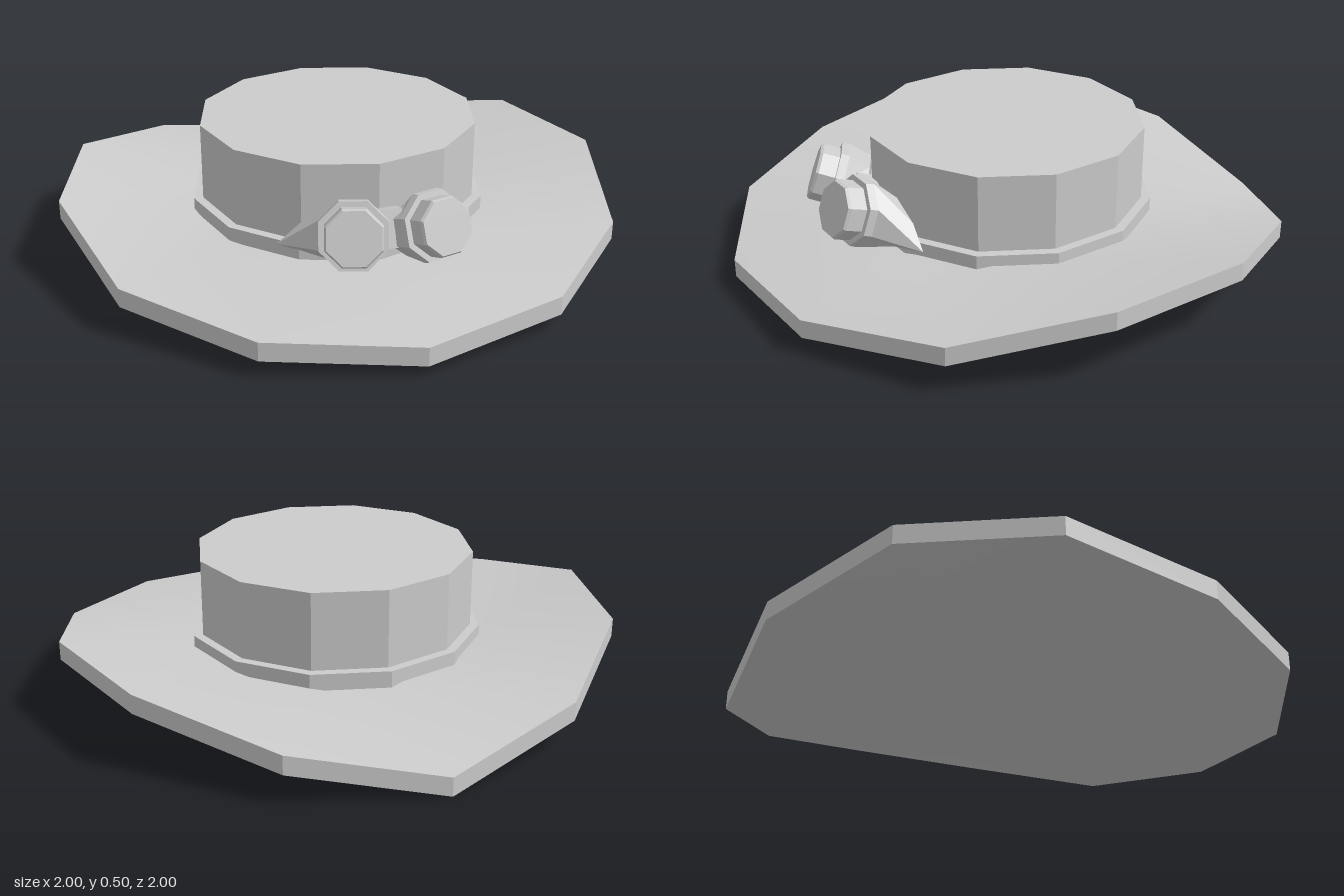
import * as THREE from 'three';
import { toCreasedNormals } from 'three/addons/utils/BufferGeometryUtils.js';

const SIDES = 12;
const flat = new THREE.MeshStandardMaterial({ color: 0xcccccc, flatShading: true });
const smooth = new THREE.MeshStandardMaterial({ color: 0xcccccc });

function part(name, geometry, material = flat) {
  const mesh = new THREE.Mesh(geometry, material);
  mesh.name = name;
  return mesh;
}

// Wide brim: a flat slab whose outer rim is bent up at the sides and down at front and back
function brimGeometry() {
  const profile = [[0, 0.11], [0.48, 0.11], [1, 0.1], [1, 0.17], [0.48, 0.176], [0, 0.176]];
  const geo = new THREE.LatheGeometry(profile.map(([r, y]) => new THREE.Vector2(r, y)), SIDES);
  const rimTop = [0.105, 0.13, 0.175, 0.275, 0.275, 0.175, 0.07]; // front to back
  const pos = geo.attributes.position;
  for (let i = 0; i < pos.count; i++) {
    const x = pos.getX(i), z = pos.getZ(i);
    if (Math.hypot(x, z) < 0.9) continue;
    const step = Math.round(Math.atan2(Math.abs(x), z) / (Math.PI / 6));
    pos.setY(i, rimTop[step] - (pos.getY(i) < 0.14 ? 0.066 : 0));
  }
  return toCreasedNormals(geo, 0.45);
}

// Joins equal-sized rings of points, capping both ends
function loft(rings, flip) {
  const n = rings[0].length, index = [];
  const tri = (a, b, c) => index.push(...(flip ? [a, c, b] : [a, b, c]));
  for (let r = 0; r < rings.length - 1; r++) {
    for (let k = 0; k < n; k++) {
      const a = r * n + k, b = r * n + (k + 1) % n;
      tri(a, b, b + n);
      tri(a, b + n, a + n);
    }
  }
  const last = (rings.length - 1) * n;
  for (let k = 1; k < n - 1; k++) {
    tri(0, k + 1, k);
    tri(last, last + k, last + k + 1);
  }
  const geo = new THREE.BufferGeometry().setFromPoints(rings.flat());
  geo.setIndex(index);
  geo.computeVertexNormals();
  return geo;
}

// One goggle cup: irregular base against the crown, octagonal cup, stepped lens barrel
function goggleGeometry(side) {
  const base = [
    [0.27, 0.29, 0.43], [0.18, 0.35, 0.46], [0.08, 0.35, 0.49], [0.01, 0.31, 0.52],
    [0.01, 0.22, 0.53], [0.07, 0.17, 0.53], [0.19, 0.17, 0.48], [0.348, 0.22, 0.42],
  ].map((p) => new THREE.Vector3(...p));
  const face = new THREE.Vector3(0.157, 0.333, 0.675);
  const axis = new THREE.Vector3(0.24, 0.33, 0.91).normalize();
  const u = new THREE.Vector3(0, 1, 0).cross(axis).normalize();
  const v = axis.clone().cross(u);
  const octagon = (depth, radius) => base.map((_, k) => {
    const a = (k + 0.5) * Math.PI / 4;
    return face.clone().addScaledVector(axis, depth)
      .addScaledVector(u, radius * Math.cos(a)).addScaledVector(v, radius * Math.sin(a));
  });
  const rings = [base, octagon(-0.1, 0.125), octagon(-0.07, 0.122), octagon(-0.07, 0.102),
    octagon(-0.01, 0.102), octagon(0, 0.096)];
  rings.flat().forEach((p) => { p.x *= side; });
  return loft(rings, side < 0);
}

export function createModel() {
  const hat = new THREE.Group();
  hat.name = 'hat';

  hat.add(part('brim', brimGeometry(), smooth));

  const crown = part('crown', new THREE.CylinderGeometry(0.497, 0.497, 0.34, SIDES));
  crown.position.y = 0.33;
  const band = part('band', new THREE.CylinderGeometry(0.53, 0.53, 0.06, SIDES));
  band.position.y = 0.195;
  hat.add(crown, band);

  // Goggles resting on the front of the brim, slightly off centre
  const goggles = new THREE.Group();
  goggles.name = 'goggles';
  goggles.position.x = 0.017;
  goggles.add(part('leftGoggle', goggleGeometry(1)), part('rightGoggle', goggleGeometry(-1)));
  const bridge = part('bridge', new THREE.BoxGeometry(0.09, 0.13, 0.06));
  bridge.position.set(0, 0.285, 0.535);
  bridge.rotation.x = -0.3;
  goggles.add(bridge);
  hat.add(goggles);

  return hat;
}
